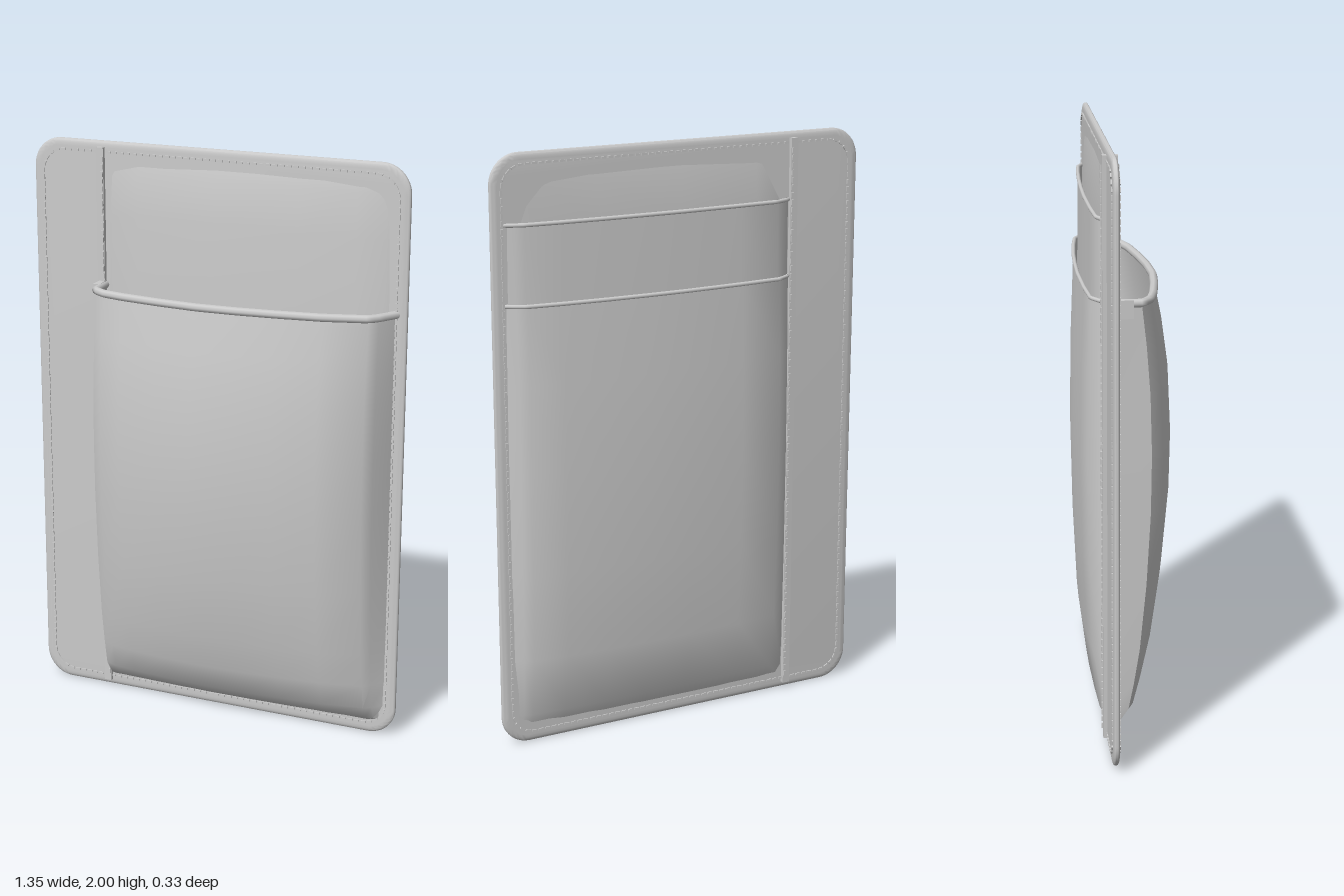
import * as THREE from 'three';
import { mergeGeometries, toCreasedNormals } from 'three/addons/utils/BufferGeometryUtils.js';

const Z0 = -0.075; // middle plane of the backing
const leather = new THREE.MeshStandardMaterial({ color: 0xcccccc, side: THREE.DoubleSide });

// Rounded rectangle inset from the 1.35 x 2 outline
function outline(inset) {
  const x = 0.675 - inset, b = inset, t = 2 - inset, r = 0.1 - inset * 0.6;
  const s = new THREE.Shape();
  s.moveTo(-x + r, b);
  s.lineTo(x - r, b);
  s.absarc(x - r, b + r, r, -Math.PI / 2, 0);
  s.lineTo(x, t - r);
  s.absarc(x - r, t - r, r, 0, Math.PI / 2);
  s.lineTo(-x + r, t);
  s.absarc(-x + r, t - r, r, Math.PI / 2, Math.PI);
  s.lineTo(-x, b + r);
  s.absarc(-x + r, b + r, r, Math.PI, Math.PI * 1.5);
  return s;
}

// Bulged sheet: depth times a cross factor [x, f] times a height factor [y, f]
function bulge(across, up, depth) {
  const pos = [], idx = [], n = across.length;
  for (const [y, fy] of up) for (const [x, fx] of across) pos.push(x, y, Z0 + depth * fx * fy);
  for (let j = 0; j < up.length - 1; j++) {
    for (let i = 0; i < n - 1; i++) {
      const a = j * n + i, b = a + 1, c = a + n, d = c + 1;
      if (depth > 0) idx.push(a, b, d, a, d, c);
      else idx.push(a, d, b, a, c, d);
    }
  }
  const g = new THREE.BufferGeometry();
  g.setAttribute('position', new THREE.Float32BufferAttribute(pos, 3));
  g.setIndex(idx);
  g.computeVertexNormals();
  return toCreasedNormals(g, 0.75);
}

// Rolled hem following the open top edge of a bulged sheet
function hem(across, [y, fy], depth, r) {
  const path = new THREE.CurvePath();
  const pts = across.map(([x, fx]) => new THREE.Vector3(x, y - r, Z0 + depth * fx * fy));
  for (let i = 1; i < pts.length; i++) path.add(new THREE.LineCurve3(pts[i - 1], pts[i]));
  return new THREE.TubeGeometry(path, 60, r, 8, false);
}

function stitches(points, thickness) {
  const list = [];
  for (let i = 0; i < points.length - 1; i++) {
    const a = points[i], b = points[i + 1];
    const g = new THREE.BoxGeometry(a.distanceTo(b) * 0.7, 0.007, thickness);
    g.rotateZ(Math.atan2(b.y - a.y, b.x - a.x));
    g.translate((a.x + b.x) / 2, (a.y + b.y) / 2, Z0);
    list.push(g);
  }
  return mergeGeometries(list);
}

export function createModel() {
  const group = new THREE.Group();
  const add = (name, geometry) => {
    const m = new THREE.Mesh(geometry, leather);
    m.name = name;
    group.add(m);
    return m;
  };
  const box = (name, x, y, z, w, h, d) =>
    add(name, new THREE.BoxGeometry(w, h, d)).position.set(x, y, z);

  // Backing with a tapered edge
  const backing = new THREE.ExtrudeGeometry(outline(0), {
    depth: 0.006, bevelThickness: 0.008, bevelSize: 0.022, bevelOffset: -0.022,
    bevelSegments: 4, curveSegments: 8,
  });
  backing.translate(0, 0, Z0 - 0.003);
  add('backing', toCreasedNormals(backing, 0.7));

  // Thin linings on both faces
  const soft = [[-0.41, 0], [-0.38, 0.5], [-0.28, 0.8], [0, 1], [0.3, 0.9], [0.5, 0.7], [0.6, 0.45], [0.635, 0]];
  const full = [[0.035, 0], [0.1, 0.45], [0.4, 0.85], [1, 1], [1.5, 0.95], [1.75, 0.75], [1.9, 0.5], [1.965, 0]];
  add('frontLining', bulge(soft, full, 0.042));
  add('backLining', bulge(soft, full, -0.03));

  // Large open pocket on the front
  const frontAcross = [[-0.412, 0], [-0.404, 0.57], [-0.36, 0.74], [-0.28, 0.84], [-0.14, 0.94], [0, 1],
    [0.14, 0.97], [0.28, 0.89], [0.43, 0.77], [0.575, 0.54], [0.6, 0.38], [0.64, 0.02]];
  const frontUp = [[0.04, 0], [0.06, 0.2], [0.11, 0.45], [0.2, 0.58], [0.32, 0.72], [0.55, 0.88], [0.8, 0.98],
    [1, 1], [1.2, 0.96], [1.36, 0.87], [1.48, 0.77], [1.51, 0.75]];
  add('frontPocket', bulge(frontAcross, frontUp, 0.24));
  add('frontPocketHem', hem(frontAcross, [1.52, 0.75], 0.24, 0.014));

  // Two overlapping card pockets on the back
  const backAcross = [[-0.412, 0], [-0.4, 0.35], [-0.35, 0.77], [-0.2, 0.91], [0, 1], [0.15, 0.98],
    [0.3, 0.91], [0.45, 0.77], [0.57, 0.6], [0.6, 0.4], [0.64, 0.05]];
  const pockets = [
    ['upperCardPocket', 0.056, [[0.04, 0], [0.1, 0.4], [0.3, 0.7], [0.95, 1], [1.4, 1], [1.78, 0.88]]],
    ['lowerCardPocket', 0.09, [[0.04, 0], [0.1, 0.45], [0.3, 0.75], [0.6, 0.92], [0.95, 1], [1.25, 0.94], [1.52, 0.8]]],
  ];
  for (const [name, depth, up] of pockets) {
    add(name, bulge(backAcross, up, -depth));
    add(name + 'Hem', hem(backAcross, up[up.length - 1], -depth, 0.007));
  }

  // Upright seam beside the pockets
  box('seamStrip', -0.42, 1, Z0, 0.026, 1.96, 0.05);
  box('pocketCornerFold', -0.417, 1.49, -0.04, 0.022, 0.06, 0.08);

  // Stitching, passing through to both faces
  add('edgeStitching', stitches(outline(0.036).getSpacedPoints(260), 0.03));
  const column = [];
  for (let i = 0; i <= 76; i++) column.push(new THREE.Vector2(-0.412, 0.045 + i * 0.0251));
  add('seamStitching', stitches(column, 0.06));

  return group;
}
